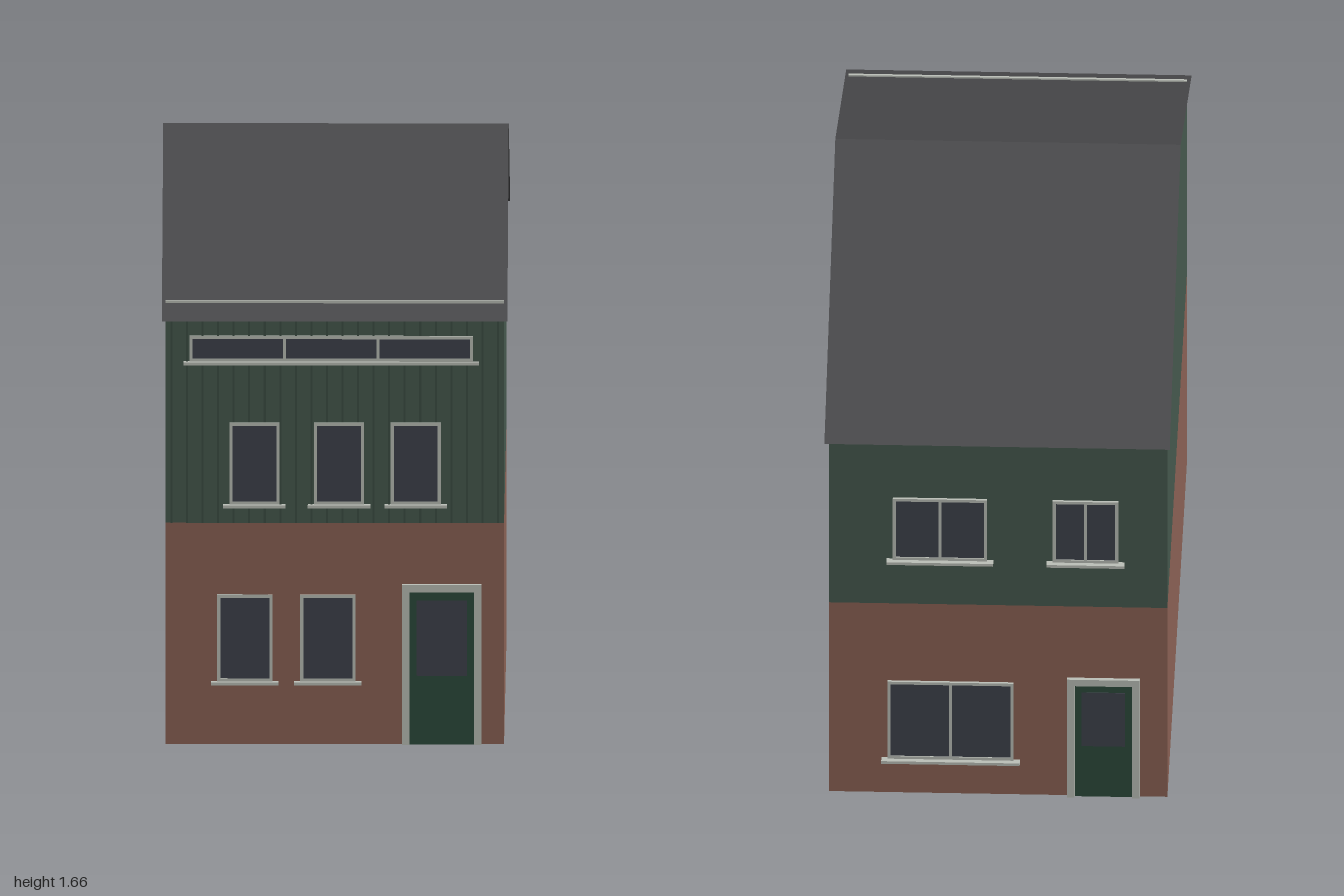
import * as THREE from 'three';

const W = 0.49, D = 0.9, MID = 0.65, EAVE = 1.3, RIDGE = 1.665;

const mat = (color, side = THREE.FrontSide) => new THREE.MeshStandardMaterial({ color, side });
const brick = mat(0x8b6255, THREE.DoubleSide);
const green = mat(0x46594e, THREE.DoubleSide);
const roofing = mat(0x4a4a4c, THREE.DoubleSide);
const batten = mat(0x3c4d43);
const frame = mat(0xbcc0b8);
const glass = mat(0x3e424c);
const doorPaint = mat(0x2c4a3b);

export function createModel() {
  const house = new THREE.Group();
  house.name = 'house';

  // Box given by its lower and upper limits on each axis
  function box(parent, name, material, x0, x1, y0, y1, z0, z1) {
    const m = new THREE.Mesh(new THREE.BoxGeometry(x1 - x0, y1 - y0, z1 - z0), material);
    m.position.set((x0 + x1) / 2, (y0 + y1) / 2, (z0 + z1) / 2);
    m.name = name;
    parent.add(m);
  }

  // Flat convex polygon, corners anticlockwise from outside
  function panel(name, material, corners) {
    const g = new THREE.BufferGeometry();
    g.setAttribute('position', new THREE.Float32BufferAttribute(corners.flat(), 3));
    const index = [];
    for (let i = 1; i < corners.length - 1; i++) index.push(0, i, i + 1);
    g.setIndex(index);
    g.computeVertexNormals();
    const m = new THREE.Mesh(g, material);
    m.name = name;
    house.add(m);
  }

  // Hollow walls, open at the bottom: brick storey and painted storey
  const plan = [[-W, D], [W, D], [W, -D], [-W, -D]];
  const sides = ['front', 'left', 'back', 'right'];
  plan.forEach(([x0, z0], i) => {
    const [x1, z1] = plan[(i + 1) % 4];
    for (const [label, material, y0, y1] of [['LowerWall', brick, 0, MID], ['UpperWall', green, MID, EAVE]])
      panel(sides[i] + label, material, [[x0, y0, z0], [x1, y0, z1], [x1, y1, z1], [x0, y1, z0]]);
  });

  // Gables and thin overhanging roof slopes
  const eaveY = RIDGE - (RIDGE - EAVE) / D;
  for (const s of [1, -1]) {
    panel(s > 0 ? 'leftGable' : 'rightGable', green, [[s * W, EAVE, s * D], [s * W, EAVE, -s * D], [s * W, RIDGE, 0]]);
    panel(s > 0 ? 'frontRoofSlope' : 'backRoofSlope', roofing,
      [[-s * 0.5, eaveY, s], [s * 0.5, eaveY, s], [s * 0.5, RIDGE, 0], [-s * 0.5, RIDGE, 0]]);
  }

  // Cladding battens and eaves trim on the front
  const cladding = new THREE.Group();
  cladding.name = 'frontCladding';
  house.add(cladding);
  for (let i = 0; i < 22; i++) {
    const x = -0.4725 + i * 0.045;
    box(cladding, 'batten', batten, x - 0.003, x + 0.003, MID, EAVE - 0.01, D, D + 0.003);
  }
  box(house, 'eavesTrim', frame, -W, W, 1.28, 1.305, D, D + 0.008);

  // Frame bars, panes and sill; built on z = 0 facing +z
  function windowUnit(wall, x0, x1, y0, y1, dividers = []) {
    const g = new THREE.Group(), t = 0.009, d = 0.008;
    g.name = 'window';
    wall.add(g);
    box(g, 'glass', glass, x0 + t, x1 - t, y0 + t, y1 - t, 0, 0.005);
    for (const y of [y0, y1 - t]) box(g, 'frameRail', frame, x0, x1, y, y + t, 0, d);
    for (const x of [x0, x1 - t]) box(g, 'frameStile', frame, x, x + t, y0 + t, y1 - t, 0, d);
    for (const x of dividers) box(g, 'mullion', frame, x - t / 2, x + t / 2, y0 + t, y1 - t, 0, d);
    box(g, 'sill', frame, x0 - 0.018, x1 + 0.018, y0 - 0.009, y0, 0, 0.022);
  }

  // Framed door with a tall glazed upper panel
  function doorUnit(wall, x0, x1, top) {
    const g = new THREE.Group(), t = 0.022;
    g.name = 'door';
    wall.add(g);
    box(g, 'doorLeaf', doorPaint, x0 + t, x1 - t, 0, top - t, 0, 0.005);
    box(g, 'doorGlass', glass, x0 + t + 0.02, x1 - t - 0.02, top * 0.43, top - t - 0.025, 0, 0.007);
    for (const x of [x0, x1 - t]) box(g, 'doorJamb', frame, x, x + t, 0, top - t, 0, 0.012);
    box(g, 'doorHead', frame, x0, x1, top - t, top, 0, 0.012);
  }

  const front = new THREE.Group();
  front.name = 'frontOpenings';
  front.position.z = D;
  for (const x of [-0.34, -0.1]) windowUnit(front, x, x + 0.16, 0.185, 0.44);
  for (const x of [-0.305, -0.06, 0.162]) windowUnit(front, x, x + 0.145, 0.705, 0.945);
  windowUnit(front, -0.42, 0.4, 1.125, 1.2, [-0.145, 0.125]);
  doorUnit(front, 0.195, 0.425, 0.47);

  // Back openings, turned to face -z
  const back = new THREE.Group();
  back.name = 'backOpenings';
  back.position.z = -D;
  back.rotation.y = Math.PI;
  windowUnit(back, -0.32, 0.045, 0.12, 0.385, [-0.138]);
  windowUnit(back, -0.305, -0.032, 0.805, 1.015, [-0.168]);
  windowUnit(back, 0.158, 0.348, 0.805, 1.015, [0.253]);
  doorUnit(back, 0.2, 0.41, 0.405);

  house.add(front, back);
  return house;
}
